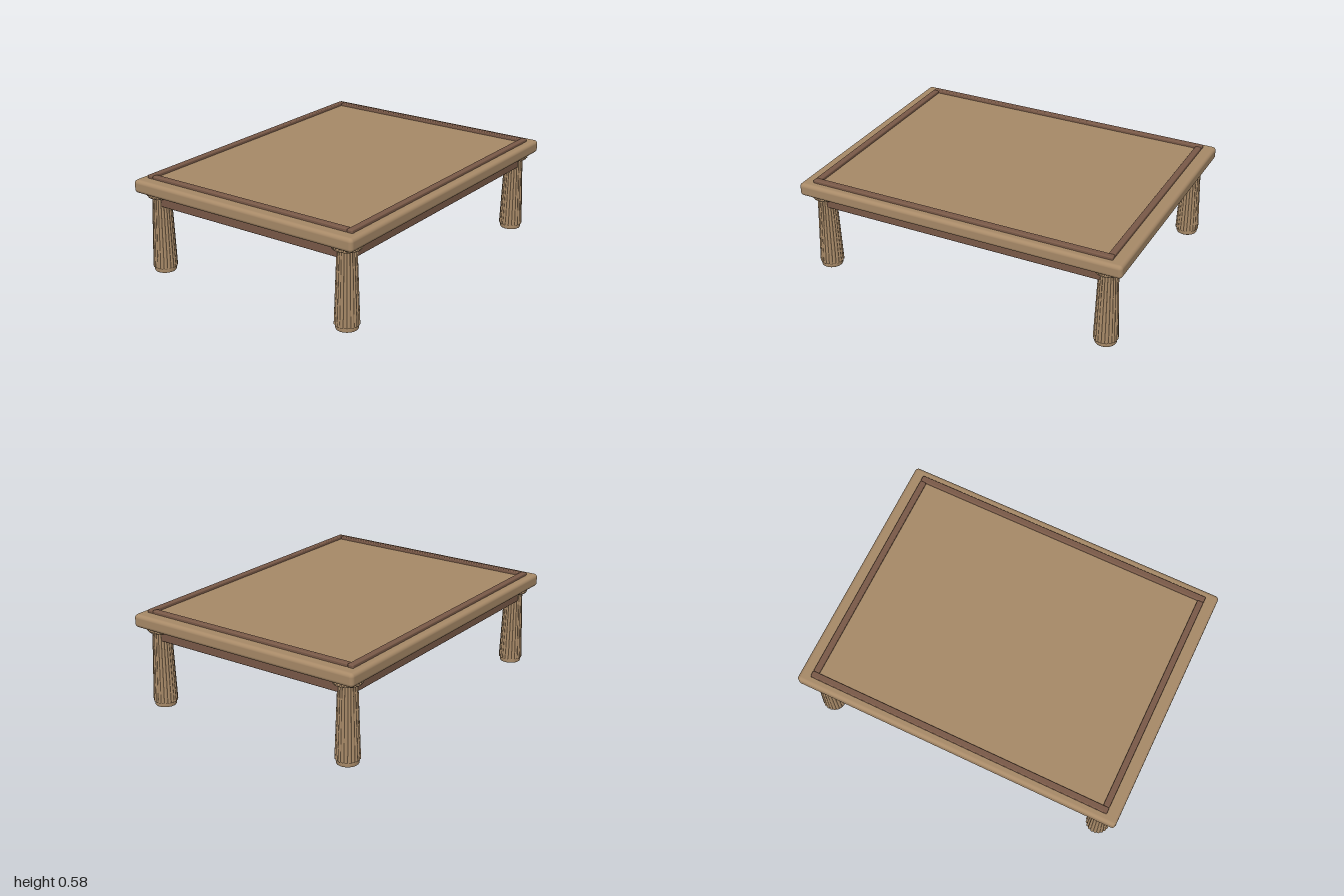
import * as THREE from 'three';
import { RoundedBoxGeometry } from 'three/addons/geometries/RoundedBoxGeometry.js';

const tan = new THREE.MeshStandardMaterial({ color: 0xa88a68 });
const brown = new THREE.MeshStandardMaterial({ color: 0x7a5a48 });

function add(parent, name, geometry, material, x = 0, y = 0, z = 0) {
  const mesh = new THREE.Mesh(geometry, material);
  mesh.name = name;
  mesh.position.set(x, y, z);
  parent.add(mesh);
  return mesh;
}

// Box with softened edges, given by its bottom and top heights
function slab(parent, name, material, w, d, y0, y1, x, z, r) {
  return add(parent, name, new RoundedBoxGeometry(w, y1 - y0, d, 4, r), material, x, (y0 + y1) / 2, z);
}

// Tapered column whose radius dips in at regular flutes
function flutedShaft(rTop, rBottom, height, flutes, depth) {
  const g = new THREE.CylinderGeometry(rTop, rBottom, height, flutes * 8, 6);
  const p = g.attributes.position;
  for (let i = 0; i < p.count; i++) {
    const x = p.getX(i), z = p.getZ(i), r = Math.hypot(x, z);
    if (r < 1e-4) continue;
    const wave = Math.abs(Math.sin(Math.atan2(x, z) * flutes / 2));
    const k = 1 - depth * (1 - wave) / r;
    p.setX(i, x * k);
    p.setZ(i, z * k);
  }
  g.computeVertexNormals();
  return g;
}

// Lathe disc with softened rims
function disc(r, y0, y1, b) {
  const pts = [[0, y0], [r - b, y0], [r - b * 0.3, y0 + b * 0.3], [r, y0 + b],
    [r, y1 - b], [r - b * 0.3, y1 - b * 0.3], [r - b, y1], [0, y1]];
  return new THREE.LatheGeometry(pts.map(([x, y]) => new THREE.Vector2(x, y)), 40);
}

function makeLeg() {
  const leg = new THREE.Group();
  leg.name = 'leg';
  add(leg, 'foot', disc(0.063, 0, 0.035, 0.007), tan);
  add(leg, 'flutedShaft', flutedShaft(0.055, 0.071, 0.435, 20, 0.006), tan, 0, 0.2455, 0);
  add(leg, 'collar', disc(0.08, 0.458, 0.487, 0.006), tan);
  // Small beads around the collar
  const bead = new THREE.SphereGeometry(0.008, 10, 8);
  for (let i = 0; i < 20; i++) {
    const a = (i / 20) * Math.PI * 2;
    add(leg, 'collarBead', bead, tan, Math.sin(a) * 0.078, 0.472, Math.cos(a) * 0.078);
  }
  return leg;
}

export function createModel() {
  const table = new THREE.Group();
  table.name = 'table';

  slab(table, 'tabletop', tan, 2, 1.52, 0.486, 0.565, 0, 0, 0.022);

  for (const s of [-1, 1]) {
    // Raised border on the tabletop
    slab(table, 'longBorder', brown, 1.86, 0.037, 0.555, 0.583, 0, s * 0.697, 0.007);
    slab(table, 'shortBorder', brown, 0.037, 1.357, 0.555, 0.583, s * 0.911, 0, 0.007);
    // Aprons between the legs
    slab(table, 'longApron', brown, 1.72, 0.09, 0.41, 0.492, 0, s * 0.655, 0.007);
    slab(table, 'shortApron', brown, 0.09, 1.24, 0.41, 0.492, s * 0.887, 0, 0.007);
    for (const t of [-1, 1]) {
      const leg = makeLeg();
      leg.position.set(s * 0.887, 0, t * 0.652);
      table.add(leg);
    }
  }
  return table;
}
